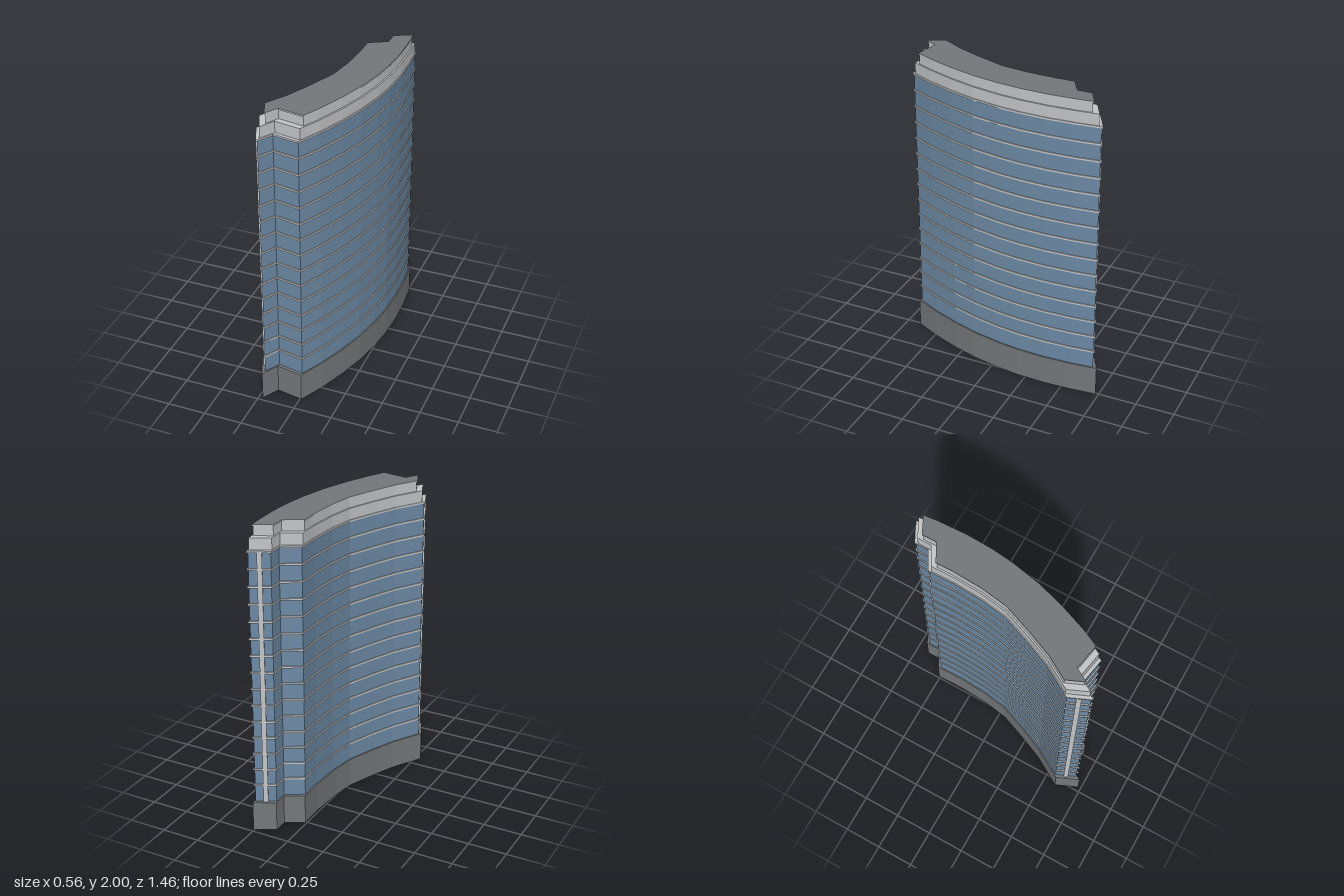
import * as THREE from 'three';

// Curved floor plan as [x, z]: convex wall, stepped front end, concave wall, stepped back end
const PLAN = [
  [0.257, -0.731], [0.274, -0.56], [0.28, -0.375], [0.272, -0.2], [0.253, -0.05],
  [0.213, 0.14], [0.16, 0.31], [0.09, 0.49], [0.01, 0.654],
  [-0.16, 0.623], [-0.222, 0.73], [-0.285, 0.584],
  [-0.168, 0.387], [-0.1, 0.232], [-0.025, 0.039], [0.002, -0.135], [0.013, -0.33], [0.01, -0.507],
  [0.126, -0.572], [0.126, -0.665],
];
const END_EDGES = [8, 10, 17, 19];

// Plan moved inward by one distance on the long walls and another on the end walls
function inset(side, end) {
  const n = PLAN.length;
  const lines = PLAN.map((p, i) => {
    const q = PLAN[(i + 1) % n];
    const d = new THREE.Vector2(q[0] - p[0], p[1] - q[1]).normalize();
    const k = END_EDGES.includes(i) ? end : side;
    return { d, o: new THREE.Vector2(p[0] + d.y * k, -p[1] - d.x * k) };
  });
  return lines.map((b, i) => {
    const a = lines[(i + n - 1) % n];
    const t = b.o.clone().sub(a.o).cross(b.d) / a.d.cross(b.d);
    return a.o.clone().addScaledVector(a.d, t);
  });
}

export function createModel() {
  const group = new THREE.Group();
  const mat = (name, color) => {
    const m = new THREE.MeshStandardMaterial({ color });
    m.name = name;
    return m;
  };
  const glass = mat('blue glass', 0x6d8aa5);
  const pale = mat('pale concrete', 0xc3c5c7);
  const grey = mat('grey stone', 0x74787a);

  // One storey block: the plan extruded upward, with its own top colour if wanted
  function tier(name, side, end, y0, y1, wall, top = wall) {
    const geo = new THREE.ExtrudeGeometry(new THREE.Shape(inset(side, end)), {
      depth: y1 - y0, bevelEnabled: false,
    });
    geo.rotateX(-Math.PI / 2);
    const mesh = new THREE.Mesh(geo, [top, wall]);
    mesh.name = name;
    mesh.position.y = y0;
    group.add(mesh);
  }

  tier('base', 0, 0, 0, 0.195, grey);
  tier('glassTower', 0.008, 0.02, 0.195, 1.85, glass);

  // Floor bands
  for (let i = 0; i < 14; i++) {
    const y = 0.313 + i * 0.11;
    tier('floorBand' + (i + 1), 0.002, 0.012, y - 0.006, y + 0.006, pale);
  }

  // Stepped crown and roof
  tier('crownLedge', 0.002, 0.012, 1.845, 1.857, pale);
  tier('lowerCrown', 0.008, 0.033, 1.857, 1.93, pale);
  tier('upperCrown', 0.018, 0.07, 1.93, 1.99, pale);
  tier('roofCoping', 0.014, 0.064, 1.99, 2, pale, grey);

  // Vertical fins in the middle of the two narrow end walls
  const wall = inset(0.008, 0.02);
  for (const [name, i] of [['frontFin', 10], ['backFin', 19]]) {
    const a = wall[i], b = wall[(i + 1) % wall.length];
    const fin = new THREE.Mesh(new THREE.BoxGeometry(0.03, 1.655, 0.02), pale);
    fin.name = name;
    fin.position.set((a.x + b.x) / 2, 1.0225, -(a.y + b.y) / 2);
    fin.rotation.y = Math.atan2(b.y - a.y, b.x - a.x);
    group.add(fin);
  }
  return group;
}
